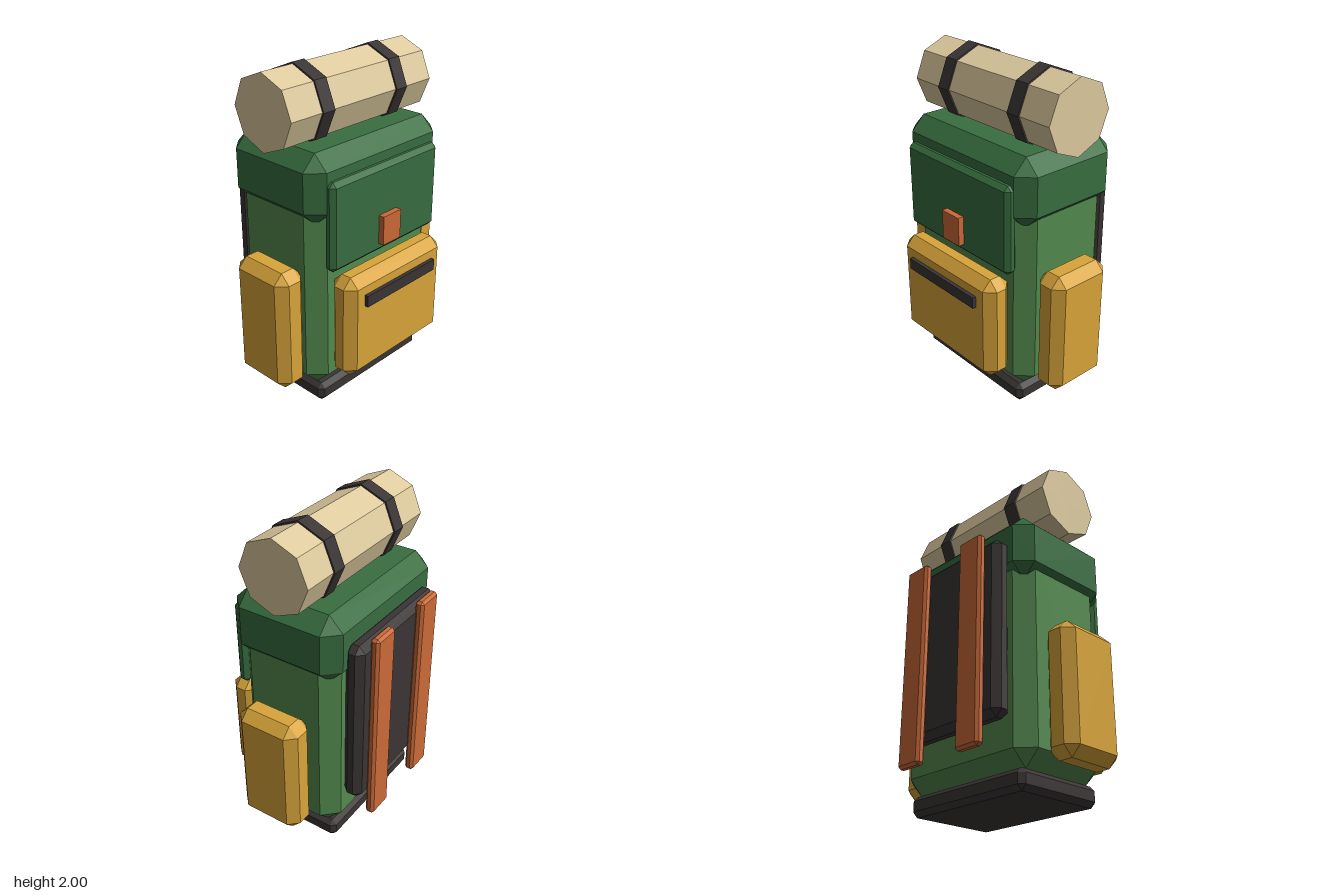
import * as THREE from 'three';
import { ConvexGeometry } from 'three/addons/geometries/ConvexGeometry.js';

const material = (name, color) => {
  const m = new THREE.MeshStandardMaterial({ color, flatShading: true });
  m.name = name;
  return m;
};

// Box given by its min and max on each axis, with every edge cut at 45 degrees by c
function chamferBox([x0, x1], [y0, y1], [z0, z1], c) {
  const half = [(x1 - x0) / 2, (y1 - y0) / 2, (z1 - z0) / 2];
  const points = [];
  for (const sx of [-1, 1]) for (const sy of [-1, 1]) for (const sz of [-1, 1]) {
    const s = [sx, sy, sz];
    // Each corner becomes three points, one on each adjoining face
    for (let face = 0; face < 3; face++) {
      points.push(new THREE.Vector3(...half.map((h, i) => s[i] * (i === face ? h : h - c))));
    }
  }
  return new ConvexGeometry(points).translate((x0 + x1) / 2, (y0 + y1) / 2, (z0 + z1) / 2);
}

function plainBox([x0, x1], [y0, y1], [z0, z1]) {
  return new THREE.BoxGeometry(x1 - x0, y1 - y0, z1 - z0)
    .translate((x0 + x1) / 2, (y0 + y1) / 2, (z0 + z1) / 2);
}

// Eight-sided cylinder lying along x at the height of the bedroll
function roll(radius, length, x) {
  return new THREE.CylinderGeometry(radius, radius, length, 8)
    .rotateZ(Math.PI / 2).translate(x, 1.77, -0.015);
}

export function createModel() {
  const group = new THREE.Group();
  group.name = 'backpack';
  const bodyGreen = material('body green', 0x538a4e);
  const lidGreen = material('lid green', 0x386e40);
  const mustard = material('mustard canvas', 0xd9a53a);
  const orange = material('orange webbing', 0xcb6a38);
  const dark = material('dark webbing', 0x3b3535);
  const tan = material('tan bedroll', 0xdecb9f);

  const add = (name, geometry, mat) => {
    const mesh = new THREE.Mesh(geometry, mat);
    mesh.name = name;
    group.add(mesh);
  };

  // Main bag
  add('base', chamferBox([-0.44, 0.44], [0, 0.12], [-0.308, 0.279], 0.03), dark);
  add('body', chamferBox([-0.5, 0.5], [0.12, 1.46], [-0.337, 0.306], 0.09), bodyGreen);
  add('lid', chamferBox([-0.53, 0.53], [1.18, 1.59], [-0.367, 0.337], 0.088), lidGreen);

  // Front flap and pocket
  add('frontFlap', chamferBox([-0.442, 0.442], [0.918, 1.447], [0.3, 0.38], 0.027), lidGreen);
  add('flapTab', plainBox([-0.073, 0.073], [0.976, 1.152], [0.37, 0.416]), orange);
  add('frontPocket', chamferBox([-0.41, 0.41], [0.24, 0.885], [0.303, 0.482], 0.057), mustard);
  add('pocketZip', plainBox([-0.295, 0.295], [0.705, 0.775], [0.46, 0.505]), dark);

  // Back padding
  add('backPanel', chamferBox([-0.41, 0.41], [0.36, 1.413], [-0.457, -0.337], 0.04), dark);

  // Bedroll
  add('bedroll', roll(0.22, 1.115, 0), tan);

  // Mirrored parts
  for (const side of [-1, 1]) {
    const label = side > 0 ? 'left' : 'right';
    const span = (a, b) => (side > 0 ? [a, b] : [-b, -a]);
    add(label + 'SidePocket', chamferBox(span(0.475, 0.676), [0.156, 0.917], [-0.19, 0.218], 0.058), mustard);
    add(label + 'ShoulderStrap', chamferBox(span(0.146, 0.322), [0.212, 1.446], [-0.505, -0.45], 0.016), orange);
    add(label + 'BedrollStrap', roll(0.23, 0.087, side * 0.293), dark);
  }
  return group;
}
